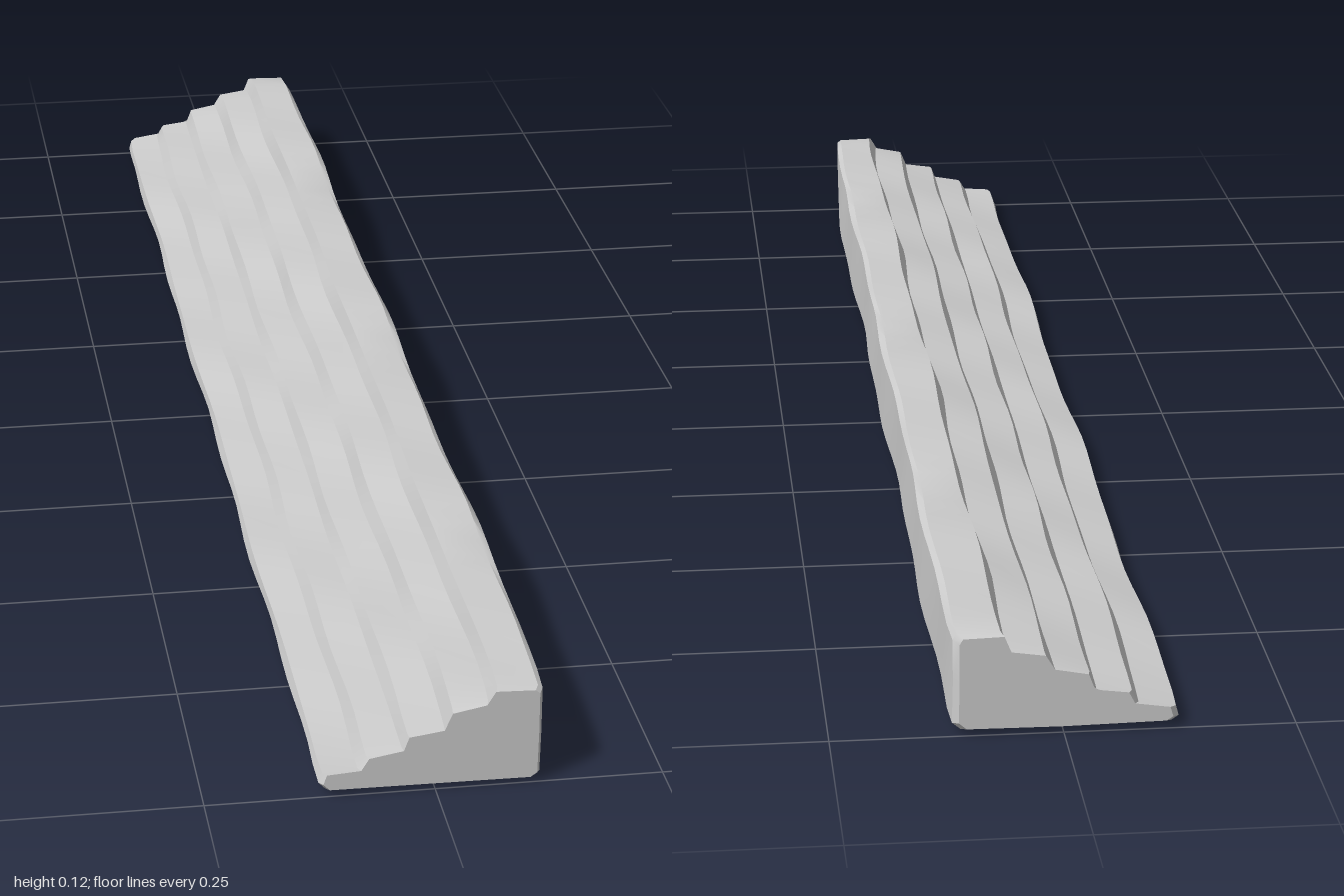
import * as THREE from 'three';
import { toCreasedNormals } from 'three/addons/utils/BufferGeometryUtils.js';

// Stepped cross-section, counter-clockwise seen from +z: base, tall wall, then steps going down
const PROFILE = [
  [-0.119, 0.005], [0, 0.004], [0.112, 0.005], [0.121, 0.012], [0.121, 0.062], [0.121, 0.113], [0.115, 0.118],
  [0.068, 0.117], [0.06, 0.098], [0.021, 0.092], [0.012, 0.073], [-0.028, 0.067],
  [-0.036, 0.051], [-0.075, 0.046], [-0.083, 0.03], [-0.122, 0.024], [-0.125, 0.012],
];
const SEGMENTS = 40;

// Smooth worn-stone waviness that varies along the length and around the section
function wobble(z, seed) {
  return 0.6 * Math.sin(z * 9.7 + seed * 1.3) + 0.4 * Math.sin(z * 21 + seed * 2.9);
}

// One cross-section; inset pulls the outline in to round the ends
function section(z, inset) {
  return PROFILE.map(([x, y], j) => {
    const shared = wobble(z, x > 0.1 ? 1 : 5);
    const px = x + 0.0025 * shared + 0.0015 * wobble(z, j * 0.8 + 3);
    const py = y + (y < 0.01 ? 0.0025 : 0.0032) * wobble(z, j * 0.6 + 8);
    return [px * (1 - inset), Math.max(0, 0.055 + (py - 0.055) * (1 - inset)), z];
  });
}

export function createModel() {
  const group = new THREE.Group();
  group.name = 'steppedStone';

  // Stations along the length with a narrow bevel at both ends
  const stations = [[-1, 0.07], [-0.992, 0.015]];
  for (let i = 1; i < SEGMENTS; i++) stations.push([-1 + (2 * i) / SEGMENTS, 0]);
  stations.push([0.992, 0.015], [1, 0.05]);

  const rings = stations.map(([z, inset]) => section(z, inset));
  const n = PROFILE.length;
  const index = [];
  for (let i = 0; i < rings.length - 1; i++) {
    for (let j = 0; j < n; j++) {
      const a = i * n + j;
      const b = i * n + ((j + 1) % n);
      index.push(a, b, a + n, b, b + n, a + n);
    }
  }

  // End caps
  const last = (rings.length - 1) * n;
  const cap = THREE.ShapeUtils.triangulateShape(PROFILE.map(([x, y]) => new THREE.Vector2(x, y)), []);
  for (const [a, b, c] of cap) {
    index.push(last + a, last + b, last + c);
    index.push(a, c, b);
  }

  const geometry = new THREE.BufferGeometry();
  geometry.setAttribute('position', new THREE.Float32BufferAttribute(rings.flat(2), 3));
  geometry.setIndex(index);

  const mesh = new THREE.Mesh(
    toCreasedNormals(geometry, 0.5),
    new THREE.MeshStandardMaterial({ color: 0xcccccc })
  );
  mesh.name = 'stoneSteps';
  group.add(mesh);
  return group;
}
